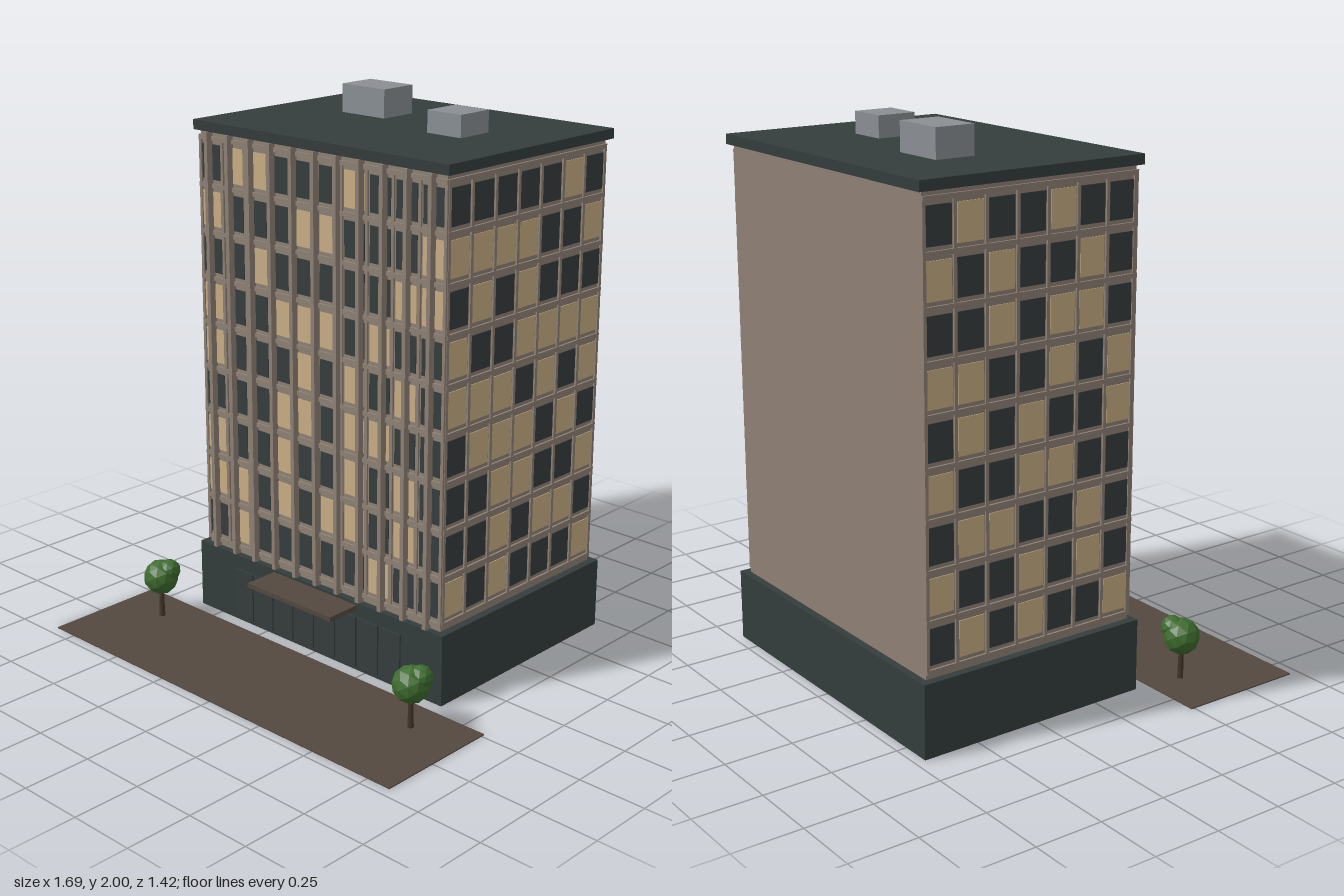
import * as THREE from 'three';

const mat = (name, color) => {
  const m = new THREE.MeshStandardMaterial({ color });
  m.name = name;
  return m;
};

// Window patterns, top floor first: # is lit, . is dark
const FRONT = ['.##...#...', '#...##...#', '..#.....##', '#..###.#..', '#...#.#.#.',
  '...##.##..', '#..#..#.#.', '##.#.##.#.', '.#.....#..'];
const LEFT = ['.....#.', '####..#', '.#.#...', '#..####', '###.#.#',
  '.###.#.', '..##..#', '..#.##.', '#.#...#'];
const RIGHT = ['.#..#..', '#.#..#.', '..#.##.', '##..#.#', '.#.#..#',
  '#..##..', '.##..#.', '#..#.#.', '.#.#..#'];

export function createModel() {
  const stone = mat('taupe stone', 0x8f8175);
  const dark = mat('dark cladding', 0x343c3c);
  const glass = mat('dark glass', 0x363d3d);
  const lit = mat('lit window', 0xc8ae84);
  const brown = mat('brown paving', 0x53483f);
  const metal = mat('grey metal', 0x8a8f94);
  const bark = mat('bark', 0x43352a);
  const leaf = mat('leaf green', 0x3d6b2d);

  const model = new THREE.Group();
  model.name = 'towerBlock';

  // Box from its minimum and maximum corners
  const box = (name, m, [x0, y0, z0], [x1, y1, z1], parent = model) => {
    const mesh = new THREE.Mesh(new THREE.BoxGeometry(x1 - x0, y1 - y0, z1 - z0), m);
    mesh.position.set((x0 + x1) / 2, (y0 + y1) / 2, (z0 + z1) / 2);
    mesh.name = name;
    parent.add(mesh);
    return mesh;
  };

  // Main masses
  box('podium', dark, [-0.61, 0, -0.712], [0.61, 0.265, 0.185]);
  box('towerCore', stone, [-0.58, 0.265, -0.685], [0.58, 1.86, 0.16]);
  box('roofSlab', dark, [-0.6, 1.86, -0.705], [0.6, 1.896, 0.178]);
  box('largeRoofUnit', metal, [-0.315, 1.896, -0.448], [-0.11, 2, -0.297]);
  box('smallRoofUnit', metal, [0.185, 1.896, -0.34], [0.335, 1.975, -0.192]);

  // Window grid built facing +z, centred on x = 0, at its own z = 0
  const y0 = 0.29, floor = 0.1717;
  const facade = (name, rows, width, winWidth) => {
    const g = new THREE.Group();
    g.name = name;
    const cols = rows[0].length, step = width / cols;
    rows.forEach((row, r) => [...row].forEach((c, i) => {
      const x = -width / 2 + step * (i + 0.5);
      const y = y0 + floor * (rows.length - r - 0.5);
      const isLit = c === '#';
      box(isLit ? 'litWindow' : 'darkWindow', isLit ? lit : glass,
        [x - winWidth / 2, y - 0.064, 0], [x + winWidth / 2, y + 0.064, 0.003], g);
    }));
    for (let r = 0; r <= rows.length; r++) {
      const y = y0 + floor * r;
      box('floorBand', stone, [-width / 2, y - 0.008, 0], [width / 2, y + 0.008, 0.008], g);
    }
    for (let i = 0; i <= cols; i++) {
      const x = Math.min(Math.max(-width / 2 + step * i, -width / 2 + 0.006), width / 2 - 0.006);
      box('mullion', stone, [x - 0.006, 0.282, 0], [x + 0.006, 1.843, 0.007], g);
    }
    model.add(g);
    return g;
  };
  facade('frontFacade', FRONT, 1.17, 0.092).position.set(0, 0, 0.16);
  for (const [name, rows, side] of [['leftFacade', LEFT, 1], ['rightFacade', RIGHT, -1]]) {
    const g = facade(name, rows, 0.845, 0.1);
    g.position.set(side * 0.58, 0, -0.2625);
    g.rotation.y = side * Math.PI / 2;
  }

  // Vertical fins standing proud of the front
  for (let i = -5; i <= 5; i++) {
    const x = i * 0.1055;
    box('frontFin', stone, [x - 0.008, 0.265, 0.16], [x + 0.008, 1.86, 0.188]);
  }

  // Entrance glazing and canopy
  for (let i = -4; i < 4; i++) {
    const x = i * 0.106;
    box('entrancePane', glass, [x + 0.003, 0.015, 0.185], [x + 0.103, 0.21, 0.192]);
  }
  box('entranceCanopy', brown, [-0.21, 0.238, 0.18], [0.21, 0.255, 0.322]);

  // Forecourt and trees
  box('forecourt', brown, [-0.845, 0, 0.237], [0.845, 0.004, 0.712]);
  for (const x of [-0.637, 0.633]) {
    const tree = new THREE.Group();
    tree.name = 'tree';
    tree.position.set(x, 0, 0.37);
    const trunk = new THREE.Mesh(new THREE.CylinderGeometry(0.008, 0.011, 0.13, 8), bark);
    trunk.name = 'trunk';
    trunk.position.y = 0.065;
    tree.add(trunk);
    for (const [r, px, py, pz] of [[0.067, 0, 0.165, 0], [0.043, 0.028, 0.195, -0.018]]) {
      // Polyhedron faces are unshared, so the crown stays faceted
      const crown = new THREE.Mesh(new THREE.IcosahedronGeometry(r, 1), leaf);
      crown.name = 'crown';
      crown.position.set(px, py, pz);
      tree.add(crown);
    }
    model.add(tree);
  }
  leaf.flatShading = true;
  return model;
}
